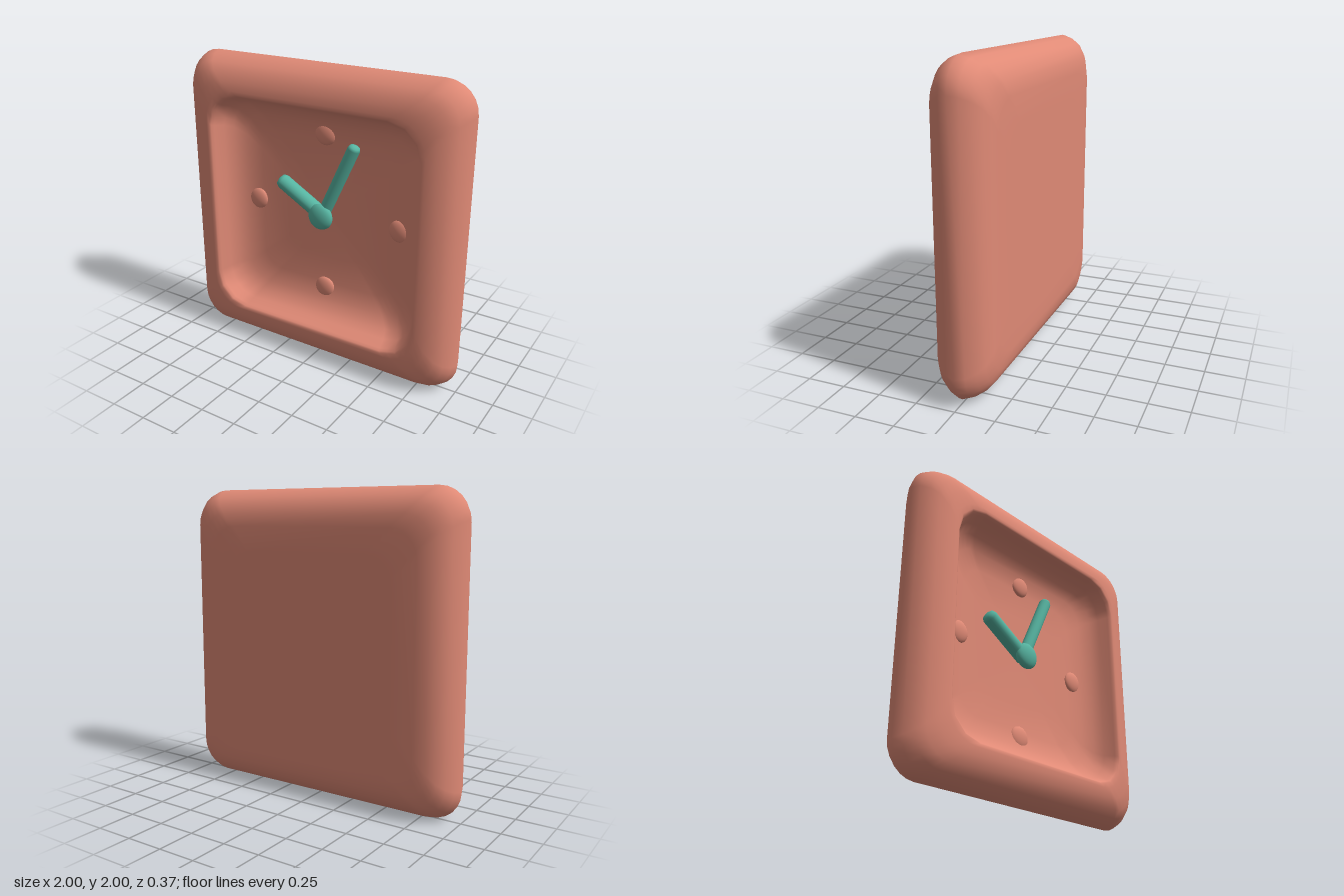
import * as THREE from 'three';

const coral = new THREE.MeshStandardMaterial({ color: 0xe08a76 });
const teal = new THREE.MeshStandardMaterial({ color: 0x56b3a0 });
const CORNER = 6; // segments per rounded corner

// Loop of points round a rounded square, counter-clockwise seen from the front
function squareLoop(half, radius, chunky) {
  const pts = [];
  const c = half - radius;
  const arc = (q, k) => {
    const a = (q + k / CORNER) * Math.PI / 2;
    const m = (q + 0.5) * Math.PI / 2;
    return new THREE.Vector2(
      Math.sign(Math.cos(m)) * c + Math.cos(a) * radius,
      Math.sign(Math.sin(m)) * c + Math.sin(a) * radius);
  };
  for (let q = 0; q < 4; q++) {
    for (let k = 0; k <= CORNER; k++) {
      // chunky corners keep every second point and flatten the ones between
      pts.push(chunky && k % 2 ? arc(q, k - 1).lerp(arc(q, k + 1), 0.5) : arc(q, k));
    }
  }
  return pts;
}

// Pillow-edged case with a dished face: rings of [half size, z, corner radius, chunky]
function caseGeometry() {
  const rings = [
    [0.6, -0.187, 0.18], [0.76, -0.187, 0.18],
    [0.84, -0.178, 0.17], [0.9, -0.152, 0.17], [0.945, -0.115, 0.18], [0.98, -0.06, 0.19],
    [1, 0, 0.2],
    [0.98, 0.06, 0.19], [0.945, 0.115, 0.18], [0.9, 0.152, 0.17], [0.84, 0.178, 0.18],
    [0.785, 0.186, 0.21], [0.765, 0.185, 0.22, true],
    [0.755, 0.178, 0.22, true], [0.745, 0.16, 0.215, true], [0.72, 0.09, 0.2, true],
    [0.68, 0.035, 0.18], [0.61, -0.01, 0.16], [0.5, -0.035, 0.14], [0.3, -0.04, 0.1],
  ];
  const pos = [], idx = [];
  for (const [half, z, radius, chunky] of rings) {
    for (const p of squareLoop(half, radius, chunky)) pos.push(p.x, p.y, z);
  }
  const n = 4 * (CORNER + 1), last = (rings.length - 1) * n;
  const back = rings.length * n, front = back + 1;
  pos.push(0, 0, -0.187, 0, 0, -0.04);
  for (let j = 0; j < n; j++) {
    const k = (j + 1) % n;
    for (let o = 0; o < last; o += n) {
      idx.push(o + j, o + k, o + n + k, o + j, o + n + k, o + n + j);
    }
    idx.push(back, k, j, last + j, last + k, front);
  }
  const geo = new THREE.BufferGeometry();
  geo.setAttribute('position', new THREE.Float32BufferAttribute(pos, 3));
  geo.setIndex(idx);
  geo.computeVertexNormals();
  return geo;
}

// Round rod with softened ends, starting just behind the pivot
function handGeometry(length, r) {
  const b = r * 0.6, s = -0.03;
  const profile = [
    [0, s], [r - b, s], [r - b * 0.3, s + b * 0.3], [r, s + b],
    [r, length - b], [r - b * 0.3, length - b * 0.3], [r - b, length], [0, length],
  ].map(([x, y]) => new THREE.Vector2(x, y));
  return new THREE.LatheGeometry(profile, 20);
}

export function createModel() {
  const group = new THREE.Group();
  const add = (name, geo, mat, x, y, z) => {
    const mesh = new THREE.Mesh(geo, mat);
    mesh.name = name;
    mesh.position.set(x, y, z);
    group.add(mesh);
    return mesh;
  };

  add('clockCase', caseGeometry(), coral, 0, 1, 0);

  // Four flattened hour markers
  const marker = new THREE.SphereGeometry(0.076, 24, 16).scale(1, 1, 0.4);
  for (let i = 0; i < 4; i++) {
    const a = i * Math.PI / 2;
    add('hourMarker' + (i + 1), marker, coral, Math.sin(a) * 0.545, 1 + Math.cos(a) * 0.545, -0.035);
  }

  // Hands point from the pivot to their tips
  const addHand = (name, x, y, r) => {
    const hand = add(name, handGeometry(Math.hypot(x, y), r), teal, 0, 1, 0);
    hand.rotation.z = -Math.atan2(x, y);
  };
  addHand('minuteHand', 0.235, 0.51, 0.041);
  addHand('hourHand', -0.335, 0.19, 0.05);

  add('hub', new THREE.SphereGeometry(0.088, 24, 16).scale(1, 1, 0.5), teal, 0, 1, 0.03);
  return group;
}
